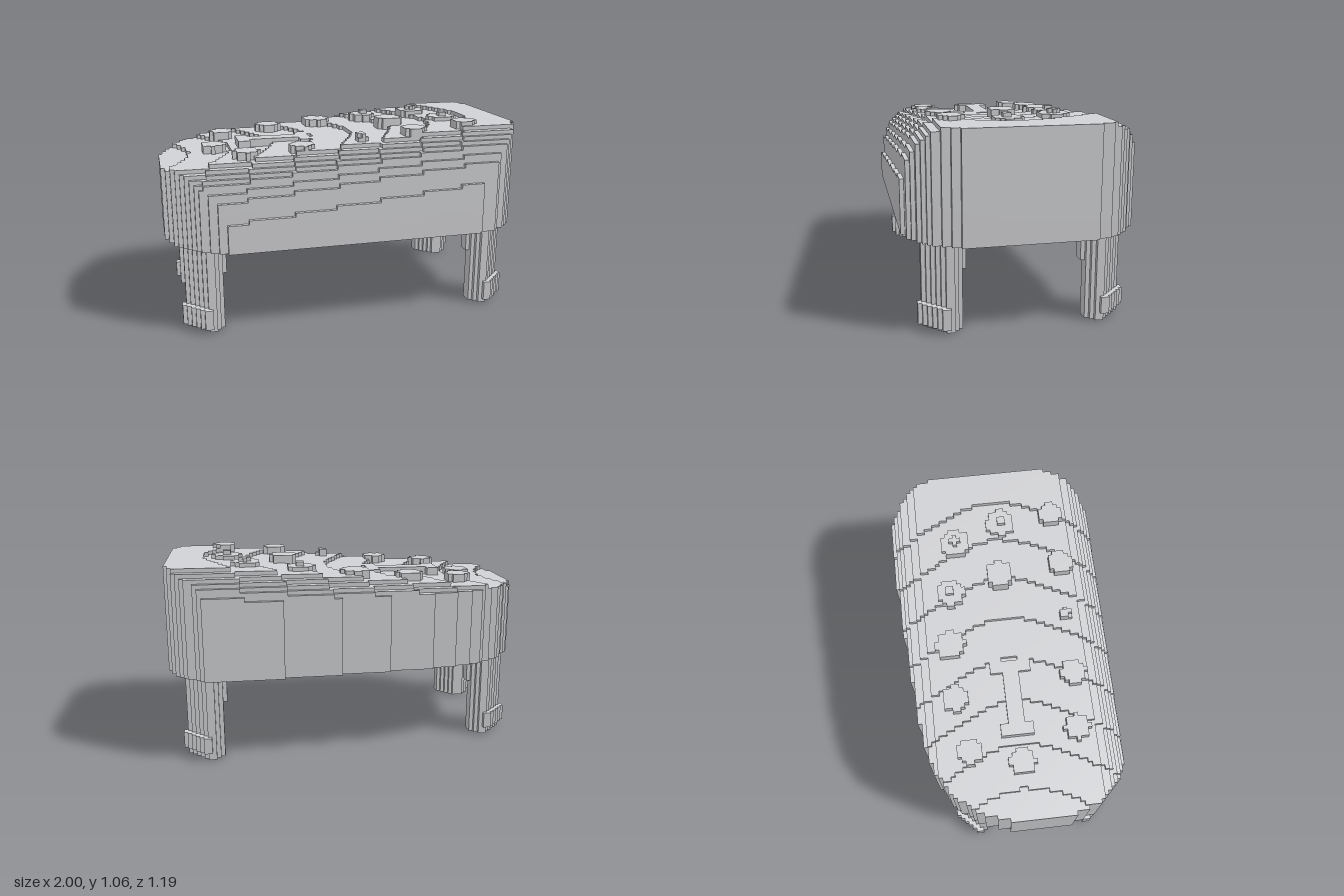
import * as THREE from 'three';

const H = 0.022; // edge of one block
const grey = new THREE.MeshStandardMaterial({ color: 0xd2d3d6 });
grey.name = 'grey';

// Six cube faces: outward direction, then the two edge directions (u x v = n)
const FACES = [
  [[1, 0, 0], [0, 1, 0], [0, 0, 1]], [[-1, 0, 0], [0, 0, 1], [0, 1, 0]],
  [[0, 1, 0], [0, 0, 1], [1, 0, 0]], [[0, -1, 0], [1, 0, 0], [0, 0, 1]],
  [[0, 0, 1], [1, 0, 0], [0, 1, 0]], [[0, 0, -1], [0, 1, 0], [1, 0, 0]],
];

// Builds the exposed block faces of a solid given by inside(x, j, z),
// where x and z are block centres and j is the layer number
function blocks(name, inside, [x0, x1], [j0, j1], [z0, z1]) {
  const at = (i, j, k) => j >= j0 && j < j1 && inside(i * H, j, (k + 0.5) * H);
  const pos = [], nor = [], index = [];
  for (let i = Math.floor(x0 / H); i <= Math.ceil(x1 / H); i++)
    for (let k = Math.floor(z0 / H) - 1; k <= Math.ceil(z1 / H); k++)
      for (let j = j0; j < j1; j++) {
        if (!at(i, j, k)) continue;
        const c = [i * H, (j + 0.5) * H, (k + 0.5) * H];
        for (const [n, u, v] of FACES) {
          if (at(i + n[0], j + n[1], k + n[2])) continue;
          const b = pos.length / 3;
          for (const [s, t] of [[-1, -1], [1, -1], [1, 1], [-1, 1]]) {
            for (let a = 0; a < 3; a++) pos.push(c[a] + (n[a] + s * u[a] + t * v[a]) * H / 2);
            nor.push(...n);
          }
          index.push(b, b + 1, b + 2, b, b + 2, b + 3);
        }
      }
  const g = new THREE.BufferGeometry();
  g.setAttribute('position', new THREE.Float32BufferAttribute(pos, 3));
  g.setAttribute('normal', new THREE.Float32BufferAttribute(nor, 3));
  g.setIndex(index);
  const mesh = new THREE.Mesh(g, grey);
  mesh.name = name;
  return mesh;
}

// Upright round block column
function column(name, x, z, r, j0, j1) {
  return blocks(name, (px, j, pz) => Math.hypot(px - x, pz - z) < r,
    [x - r, x + r], [j0, j1], [z - r, z + r]);
}

function lookup(table, x) {
  if (x < table[0][0] || x > table[table.length - 1][0]) return -1;
  for (let i = 1; i < table.length; i++) {
    const [xa, ya] = table[i - 1], [xb, yb] = table[i];
    if (x <= xb) return ya + (yb - ya) * (x - xa) / (xb - xa);
  }
  return -1;
}

// Plan outline: front edge and (slanting) back edge, as distance from z = 0
const FRONT = [[-1, 0.22], [-0.98, 0.31], [-0.95, 0.38], [-0.9, 0.45], [-0.8, 0.53], [-0.67, 0.594],
  [0.69, 0.594], [0.8, 0.56], [0.9, 0.49], [0.95, 0.42], [0.98, 0.36], [1, 0.31]];
const BACK = [[-1, 0.07], [-0.97, 0.15], [-0.93, 0.25], [-0.87, 0.33], [-0.8, 0.4], [-0.67, 0.47], [-0.5, 0.51],
  [-0.12, 0.545], [0.4, 0.585], [0.78, 0.594], [0.85, 0.545], [0.9, 0.5], [0.95, 0.45], [0.98, 0.4], [1, 0.31]];
const inPlan = (x, z) => (z > 0 ? z < lookup(FRONT, x) : -z < lookup(BACK, x));

// Layers lost toward the rounded front and back top edges, outermost first
const FRONT_DROP = [13, 8, 6, 4, 3, 2, 1, 1];
const BACK_DROP = [6, 4, 3, 2, 2, 1, 1, 0];
function topLayer(x, z) {
  const level = Math.floor((x + 1.18 - 0.11 * Math.cos(z * 5)) / 0.235);
  const d = Math.floor((0.594 - Math.abs(z)) / H + 0.01);
  const drop = (z > 0 ? FRONT_DROP : BACK_DROP)[Math.max(d, 0)] ?? 0;
  return 39 + Math.min(8, Math.max(0, level)) - drop;
}

export function createModel() {
  const model = new THREE.Group();

  // Hollow sloping body, open underneath, its ceiling rounded at the walls
  model.add(blocks('body', (x, j, z) => {
    if (!inPlan(x, z)) return false;
    const top = topLayer(x, z);
    if (j >= top) return false;
    const inset = Math.max(0, j - top + 10) * 0.02;
    return !(j < top - 5 && inPlan(x / (0.91 - inset), z / (0.85 - inset)));
  }, [-1, 1], [21, 48], [-0.6, 0.6]));

  // Round post hanging inside the body
  model.add(column('centrePost', 0.03, 0.02, 0.2, 26, 40));

  // Raised round studs: x, z, radius, height in layers, whether a small tip sits on top
  const studs = [
    [-0.62, -0.26, 0.066, 2, 0], [-0.33, -0.31, 0.07, 2, 0], [-0.03, -0.31, 0.08, 2, 0],
    [0.27, -0.28, 0.076, 1, 1], [0.57, -0.23, 0.08, 2, 1],
    [-0.7, 0.01, 0.068, 2, 0], [0.35, 0, 0.074, 2, 0], [0.67, 0.04, 0.08, 1, 1],
    [-0.55, 0.32, 0.068, 2, 0], [-0.25, 0.34, 0.068, 1, 0], [0.08, 0.34, 0.035, 1, 1],
    [0.38, 0.35, 0.068, 2, 0], [0.69, 0.33, 0.064, 2, 0],
  ];
  for (const [x, z, r, n, tip] of studs) {
    const base = topLayer(x, z);
    const top = Math.min(base + n, 48 - tip);
    model.add(column('stud', x, z, r, base - 2, top));
    if (tip) model.add(column('studTip', x, z, 0.026, top, top + 1));
  }

  // Flat raised bar with a cross piece at each end
  model.add(blocks('topBar', (x, j, z) => {
    const a = Math.abs(z);
    return x > -0.565 && x < -0.14 && a < (x < -0.49 ? 0.08 : x > -0.2 ? 0.1 : 0.036);
  }, [-0.6, -0.1], [39, 43], [-0.12, 0.12]));

  // Legs set across the corners (u and v run outward from the leg's axis),
  // thickened inward near the top, each with a bulging toe
  const inLeg = (u, v) => Math.max(Math.abs(u), Math.abs(v)) < 0.104
    && Math.abs(u - v) < 0.145 && u + v < 0.075 && u + v > -0.09;
  const inToe = (u, v) => Math.min(u, v) > -0.03 && Math.max(u, v) < 0.124 && u + v < 0.12;
  const legs = [
    ['frontLeg', 0.81, 0.41], ['frontLeg', -0.81, 0.41],
    ['backLeg', 0.81, -0.425], ['backLeg', -0.81, -0.28],
  ];
  for (const [name, x, z] of legs) {
    const sx = Math.sign(x), sz = Math.sign(z);
    const xs = [x - 0.15, x + 0.15], zs = [z - 0.15, z + 0.15];
    model.add(blocks(name, (px, j, pz) => {
      const u = (px - x) * sx, v = (pz - z) * sz;
      return inLeg(u, v) || (j > 13 && inLeg(u + H, v + H));
    }, xs, [0, 21], zs));
    model.add(blocks('toe', (px, j, pz) => inToe((px - x) * sx, (pz - z) * sz),
      xs, [z > 0 ? 1 : 2, 6], zs));
  }
  return model;
}
